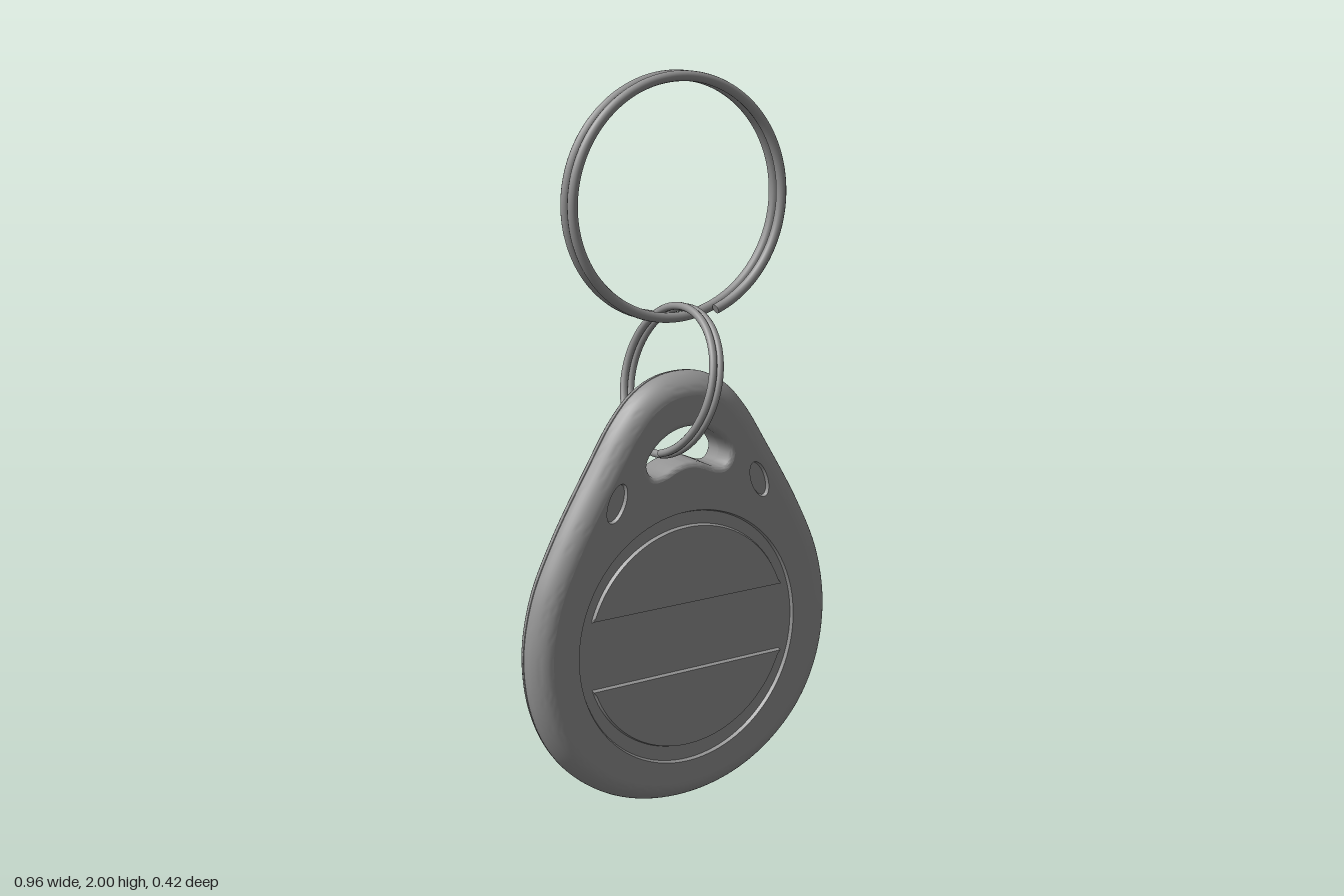
import * as THREE from 'three';
import { toCreasedNormals } from 'three/addons/utils/BufferGeometryUtils.js';

const V = (x, y) => new THREE.Vector2(x, y);
const material = new THREE.MeshStandardMaterial({ color: 0x949494 });
const HALF = 0.06; // half thickness of the fob
const DEPTH = 0.01; // depth of the recesses

function mesh(geometry, name) {
  const m = new THREE.Mesh(geometry, material);
  m.name = name;
  return m;
}

// Counter-clockwise closed loop, symmetric about x = 0, from its right half listed bottom to top
function symmetricLoop(half, count) {
  const mirrored = half.slice(1, -1).reverse().map(([x, y]) => [-x, y]);
  const pts = [...half, ...mirrored].map(([x, y]) => new THREE.Vector3(x, y, 0));
  const curve = new THREE.CatmullRomCurve3(pts, true, 'centripetal');
  return curve.getSpacedPoints(count).slice(0, count).map(p => V(p.x, p.y));
}

function ellipse(cx, cy, rx, ry, tilt = 0, count = 96) {
  const curve = new THREE.EllipseCurve(cx, cy, rx, ry, 0, Math.PI * 2, false, tilt);
  return curve.getPoints(count).slice(0, count);
}

// Moves a counter-clockwise loop inward by d (outward when negative)
function inset(loop, d) {
  const n = loop.length;
  return loop.map((p, i) => {
    const t = loop[(i + 1) % n].clone().sub(loop[(i + n - 1) % n]).normalize();
    return V(p.x - t.y * d, p.y + t.x * d);
  });
}

// Flat sheet facing +z
function sheet(loop, z, name, holes = []) {
  const shape = new THREE.Shape(loop);
  shape.holes = holes.map(h => new THREE.Path(h));
  return mesh(new THREE.ShapeGeometry(shape).translate(0, 0, z), name);
}

// Wall through [loop, z] sections: faces outward front to back, inward back to front
function wall(sections, name) {
  const n = sections[0][0].length;
  const position = [], index = [];
  sections.forEach(([loop, z]) => loop.forEach(p => position.push(p.x, p.y, z)));
  for (let i = 0; i < sections.length - 1; i++) {
    for (let j = 0; j < n; j++) {
      const k = (j + 1) % n;
      const a = i * n + j, b = a + n, c = (i + 1) * n + k, d = i * n + k;
      index.push(a, b, c, a, c, d);
    }
  }
  const g = new THREE.BufferGeometry();
  g.setAttribute('position', new THREE.Float32BufferAttribute(position, 3));
  g.setIndex(index);
  return mesh(toCreasedNormals(g, 0.6), name);
}

const outline = symmetricLoop([
  [0, 0], [0.15, 0.022], [0.28, 0.085], [0.39, 0.19], [0.457, 0.325], [0.479, 0.49],
  [0.452, 0.65], [0.386, 0.8], [0.275, 0.99], [0.205, 1.1], [0.145, 1.165], [0.075, 1.204], [0, 1.215],
], 160);
const eyelet = symmetricLoop([
  [0, 0.975], [0.04, 0.968], [0.085, 0.95], [0.115, 0.95], [0.13, 0.98],
  [0.112, 1.018], [0.06, 1.058], [0, 1.072],
], 80);

// One half of the shell, from the seam to its face
function shellHalf(name, discSlope) {
  const group = new THREE.Group();
  group.name = name;

  const edge = [], rim = [[eyelet, 0]];
  for (let i = 0; i <= 10; i++) {
    const a = (1 - i / 10) * Math.PI / 2;
    edge.push([inset(outline, 0.058 * (1 - Math.cos(a)) ** 0.85), 0.002 + (HALF - 0.002) * Math.sin(a)]);
  }
  edge.push([inset(outline, 0.004), 0]);
  for (let i = 0; i <= 5; i++) {
    const a = i / 5 * Math.PI / 2;
    rim.push([inset(eyelet, -0.015 * (1 - Math.cos(a))), HALF - 0.015 * (1 - Math.sin(a))]);
  }

  const recesses = [
    [ellipse(0, 0.48, 0.345, 0.36), 'discRecess', discSlope],
    [ellipse(0.225, 0.895, 0.026, 0.055, 0.38, 32), 'leftDimple', 0.004],
    [ellipse(-0.225, 0.895, 0.026, 0.055, -0.38, 32), 'rightDimple', 0.004],
  ];
  group.add(
    wall(edge, 'roundedEdge'),
    wall(rim, 'eyeletWall'),
    sheet(edge[0][0], HALF, 'face', [rim.at(-1)[0], ...recesses.map(r => r[0])]),
  );
  for (const [loop, label, slope] of recesses) {
    const floor = inset(loop, slope);
    group.add(
      wall([[floor, HALF - DEPTH], [loop, HALF]], label + 'Wall'),
      sheet(floor, HALF - DEPTH, label + 'Floor'),
    );
  }
  return group;
}

// Raised circular segment on the front disc; dir = 1 above the band, -1 below it
function segmentPanel(dir, name) {
  const r = 0.317, h = 0.095, start = Math.asin(h / r), steps = 48;
  const base = [];
  for (let i = 0; i <= steps; i++) {
    const a = start + (Math.PI - 2 * start) * i / steps + (dir < 0 ? Math.PI : 0);
    base.push(V(Math.cos(a) * r, 0.483 + Math.sin(a) * r));
  }
  const top = inset(base, 0.004);
  const group = new THREE.Group();
  group.name = name;
  group.add(wall([[top, HALF], [base, HALF - DEPTH]], 'panelEdge'), sheet(top, HALF, 'panelTop'));
  return group;
}

// Split ring wound about z, with closed wire ends
function splitRing(name, { radius, wire, pitch, start, turns }) {
  const group = new THREE.Group();
  group.name = name;
  const pts = [];
  for (let i = 0; i <= 96; i++) {
    const turn = turns * i / 96;
    const a = start + turn * Math.PI * 2;
    pts.push(new THREE.Vector3(Math.cos(a) * radius, Math.sin(a) * radius, pitch * (Math.abs(turn) - 1)));
  }
  const curve = new THREE.CatmullRomCurve3(pts);
  group.add(mesh(new THREE.TubeGeometry(curve, 240, wire, 12), 'coil'));
  for (const t of [0, 1]) {
    const cap = mesh(new THREE.CircleGeometry(wire, 12), 'wireEnd');
    const out = curve.getTangent(t).multiplyScalar(t ? 1 : -1);
    cap.position.copy(curve.getPoint(t));
    cap.quaternion.setFromUnitVectors(new THREE.Vector3(0, 0, 1), out);
    group.add(cap);
  }
  return group;
}

export function createModel() {
  const model = new THREE.Group();
  model.name = 'keyFob';

  // Fob body: two matching halves, panels on the front only
  const fob = new THREE.Group();
  fob.name = 'fobBody';
  fob.position.z = -0.018;
  const back = shellHalf('backShell', 0.015);
  back.rotation.y = Math.PI;
  fob.add(
    shellHalf('frontShell', 0.004), back,
    segmentPanel(1, 'upperPanel'), segmentPanel(-1, 'lowerPanel'),
  );

  // Large key ring, facing the front
  const keyRing = splitRing('keyRing', { radius: 0.312, wire: 0.0135, pitch: -0.035, start: -1.243, turns: 1.92 });
  keyRing.position.set(-0.017, 1.675, 0);

  // Small linking ring through the eyelet, leaning to the left at the top
  const linkRing = splitRing('linkRing', { radius: 0.197, wire: 0.0105, pitch: 0.022, start: -1.87, turns: -1.9 });
  linkRing.position.set(-0.035, 1.195, 0);
  linkRing.rotation.set(0, Math.PI / 2 + 0.06, -0.27, 'ZYX');

  model.add(fob, keyRing, linkRing);
  return model;
}
